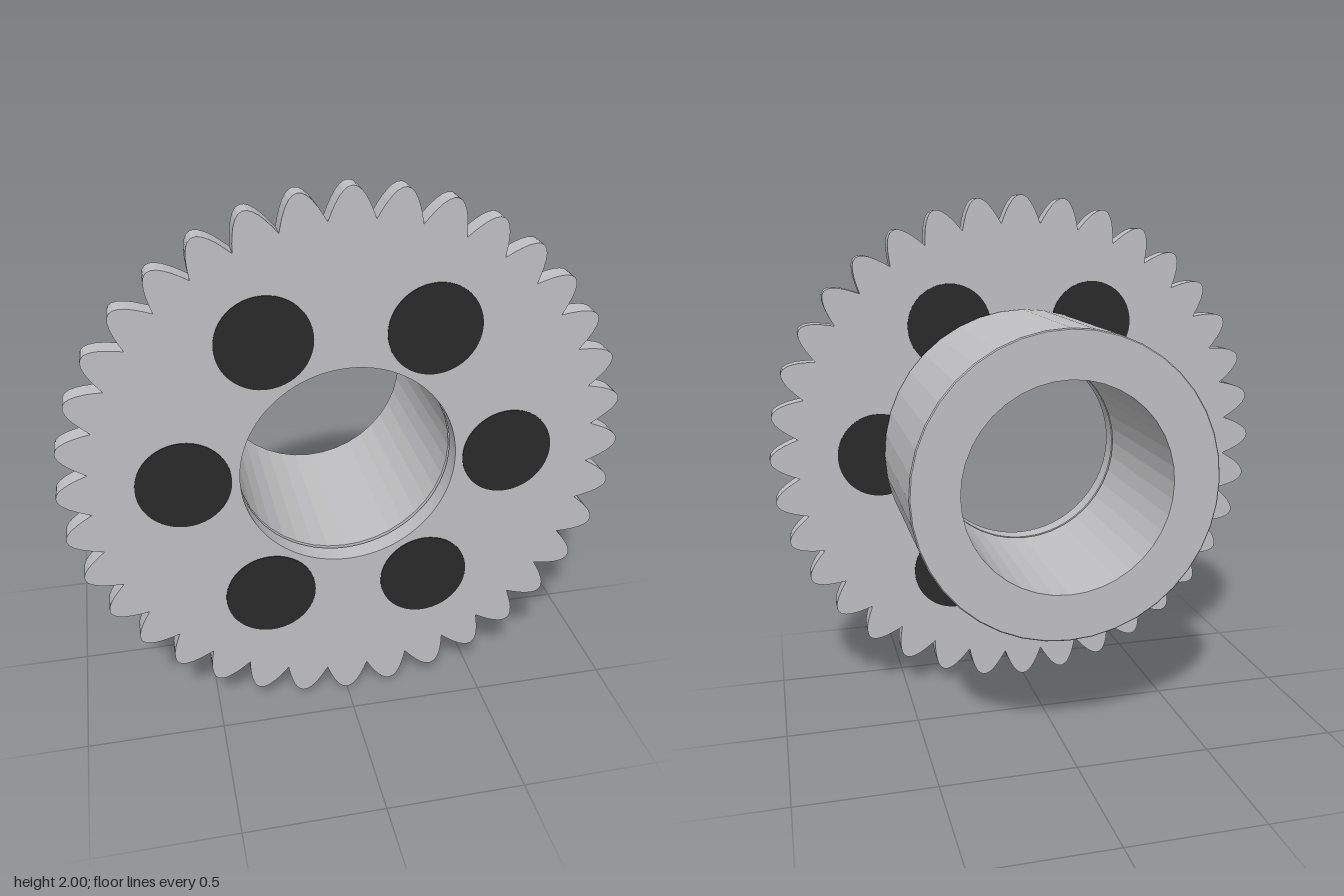
import * as THREE from 'three';

const CENTER_Y = 1;
const BORE = 0.385;

// Toothed outline: rounded tips meeting in sharp valleys
function gearShape(teeth, root, tip, steps) {
  const points = [];
  const count = teeth * steps;
  for (let i = 0; i < count; i++) {
    const a = (i / count) * Math.PI * 2;
    const r = root + (tip - root) * Math.abs(Math.cos((a * teeth) / 2));
    points.push(new THREE.Vector2(r * Math.cos(a), r * Math.sin(a)));
  }
  const shape = new THREE.Shape(points);
  shape.holes.push(new THREE.Path().absarc(0, 0, BORE, 0, Math.PI * 2, true));
  return shape;
}

export function createModel() {
  const group = new THREE.Group();
  const steel = new THREE.MeshStandardMaterial({ color: 0xc0c0c2, flatShading: true });
  steel.name = 'steel';
  const black = new THREE.MeshStandardMaterial({ color: 0x2a2a2a });
  black.name = 'black';

  // Thin toothed ring at the front
  const gear = new THREE.Mesh(
    new THREE.ExtrudeGeometry(gearShape(36, 0.893, 1, 12), {
      depth: 0.071, bevelEnabled: false, curveSegments: 48,
    }),
    steel
  );
  gear.name = 'gearRing';
  gear.position.set(0, CENTER_Y, 0.314);
  group.add(gear);

  // Hollow hub behind the ring, with slightly broken outer edges
  const back = -0.388, front = 0.3, outer = 0.56, c = 0.004;
  const profile = [
    [BORE, back], [outer - c, back], [outer, back + c],
    [outer, front - c], [outer - c, front], [BORE, front], [BORE, back],
  ].map(([r, z]) => new THREE.Vector2(r, z));
  const hub = new THREE.Mesh(new THREE.LatheGeometry(profile, 40).rotateX(Math.PI / 2), steel);
  hub.name = 'hub';
  hub.position.y = CENTER_Y;
  group.add(hub);

  // Six round plugs passing through the ring
  const plugGeometry = new THREE.CylinderGeometry(0.165, 0.165, 0.077, 48).rotateX(Math.PI / 2);
  for (let i = 0; i < 6; i++) {
    const a = (i * Math.PI) / 3;
    const plug = new THREE.Mesh(plugGeometry, black);
    plug.name = `plug${i + 1}`;
    plug.position.set(0.577 * Math.cos(a), CENTER_Y + 0.577 * Math.sin(a), 0.3495);
    group.add(plug);
  }
  return group;
}
